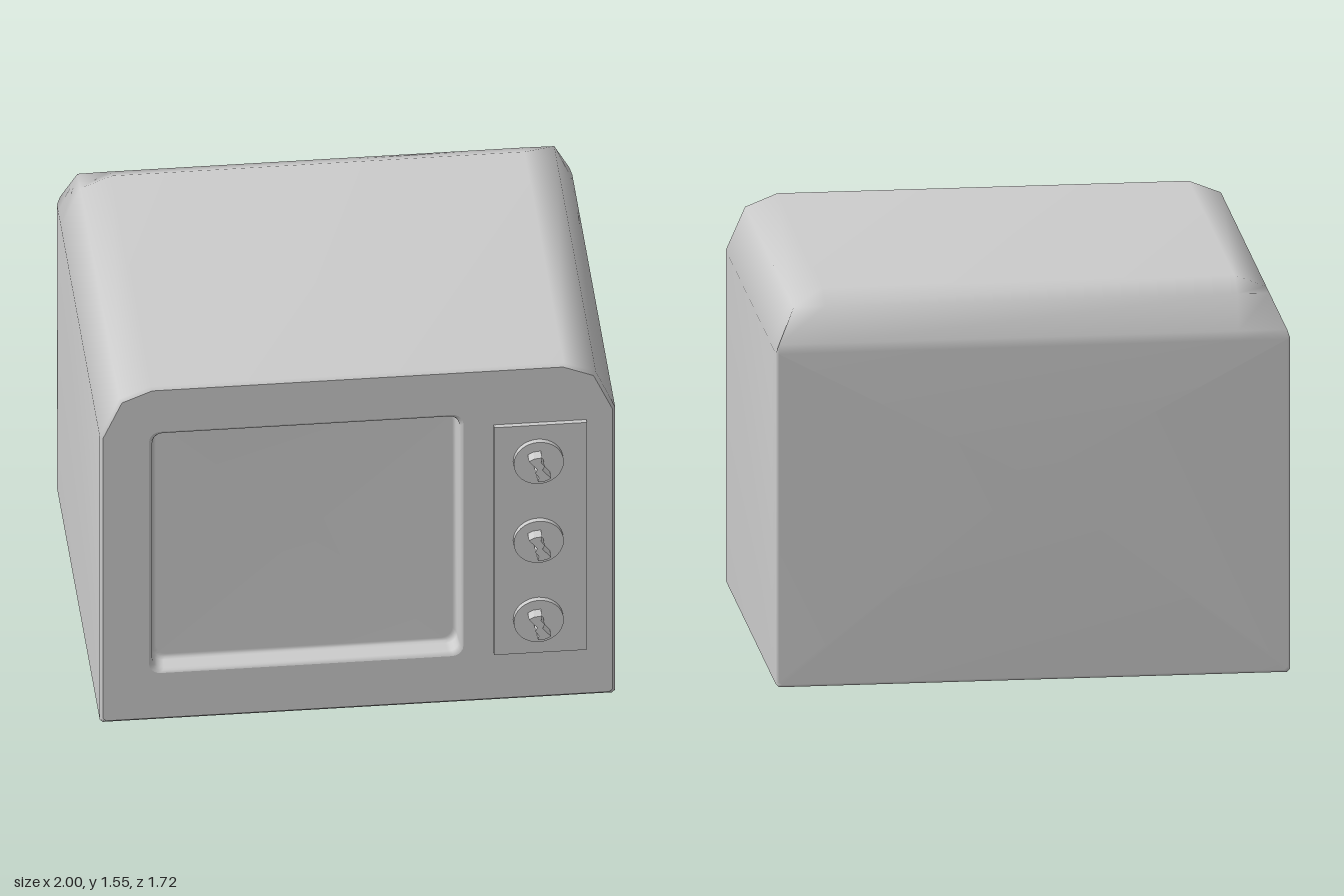
import * as THREE from 'three';

const material = new THREE.MeshStandardMaterial({ color: 0xcccccc, side: THREE.DoubleSide });

function addMesh(parent, name, geometry, x = 0, y = 0, z = 0) {
  const mesh = new THREE.Mesh(geometry, material);
  mesh.name = name;
  mesh.position.set(x, y, z);
  parent.add(mesh);
  return mesh;
}

// Joins closed rings of [x, y, z] points and closes the last ring with a fan.
function loft(rings) {
  const n = rings[0].length;
  const index = [];
  for (let i = 0; i < rings.length - 1; i++) {
    for (let j = 0; j < n; j++) {
      const a = i * n + j, b = i * n + (j + 1) % n;
      index.push(a, a + n, b, b, a + n, b + n);
    }
  }
  const last = rings[rings.length - 1];
  const start = (rings.length - 1) * n, centre = rings.length * n;
  for (let j = 0; j < n; j++) index.push(start + j, centre, start + (j + 1) % n);
  const middle = [0, 1, 2].map((k) => last.reduce((sum, p) => sum + p[k], 0) / n);
  const geometry = new THREE.BufferGeometry();
  geometry.setAttribute('position', new THREE.Float32BufferAttribute([...rings.flat(), middle].flat(), 3));
  geometry.setIndex(index);
  geometry.computeVertexNormals();
  return geometry;
}

// Casing outline, counter-clockwise: the right half, then its mirror.
function casingRing(z, inset, shoulder, top) {
  const w = 1 - inset;
  const half = [[w - 0.012, inset], [w, inset + 0.012], [w, 1.33], shoulder, top];
  const mirrored = half.map(([x, y]) => [-x, y]).reverse();
  return [...half, ...mirrored].map(([x, y]) => [x, y, z]);
}

// Rounded rectangle of the door opening, clockwise.
function openingRing(inset, z) {
  const r = 0.045, steps = 5, points = [];
  const x0 = -0.81 + inset, x1 = 0.41 - inset, y0 = 0.22 + inset, y1 = 1.345 - inset;
  const corners = [[x1 - r, y1 - r], [x1 - r, y0 + r], [x0 + r, y0 + r], [x0 + r, y1 - r]];
  corners.forEach(([cx, cy], k) => {
    for (let i = 0; i <= steps; i++) {
      const a = Math.PI / 2 * (1 - k - i / steps);
      points.push([cx + r * Math.cos(a), cy + r * Math.sin(a), z]);
    }
  });
  return points;
}

const toVectors = (points) => points.map(([x, y]) => new THREE.Vector2(x, y));

export function createModel() {
  const model = new THREE.Group();
  model.name = 'microwaveOven';

  // Casing with sloped shoulders and a hipped rear edge
  const front = casingRing(0.77, 0.012, [0.915, 1.49], [0.797, 1.538]);
  addMesh(model, 'casing', loft([
    front,
    casingRing(0.758, 0, [0.925, 1.5], [0.8, 1.55]),
    casingRing(-0.7, 0, [0.925, 1.5], [0.8, 1.55]),
    casingRing(-0.8, 0, [0.925, 1.5], [0.8, 1.502]),
    casingRing(-0.848, 0, [0.988, 1.365], [0.8, 1.365]),
    casingRing(-0.86, 0.012, [0.988, 1.33], [0.8, 1.33]),
  ]));

  // Front frame around the door opening
  const frame = new THREE.Shape(toVectors(front));
  frame.holes.push(new THREE.Path(toVectors(openingRing(0, 0))));
  addMesh(model, 'frontFrame', new THREE.ShapeGeometry(frame), 0, 0, 0.77);

  // Recessed door with softened rim and floor edge
  addMesh(model, 'recessedDoor', loft([
    openingRing(0, 0.77),
    openingRing(0.009, 0.766),
    openingRing(0.014, 0.755),
    openingRing(0.018, 0.705),
    openingRing(0.023, 0.694),
    openingRing(0.035, 0.69),
  ]));

  // Control panel
  addMesh(model, 'controlPanel', new THREE.BoxGeometry(0.36, 1.06, 0.03), 0.707, 0.757, 0.775);

  // Waisted knob grip: half an outline, repeated by a half turn
  const half = [[-0.043, 0.042], [-0.022, 0.053], [0.008, 0.056], [0.004, 0.035], [0.018, 0.015], [0.01, -0.002]];
  const outline = new THREE.Shape(toVectors([...half, ...half.map(([x, y]) => [-x, -y])]));
  const gripGeometry = new THREE.ExtrudeGeometry(outline, { depth: 0.055, bevelEnabled: false });
  const dialGeometry = new THREE.CylinderGeometry(0.097, 0.097, 0.03, 32).rotateX(Math.PI / 2);

  // Three knobs
  for (const y of [1.125, 0.757, 0.388]) {
    const knob = new THREE.Group();
    knob.name = 'knob';
    knob.position.set(0.698, y, 0.79);
    addMesh(knob, 'dial', dialGeometry, 0, 0, 0.007);
    addMesh(knob, 'grip', gripGeometry, 0, 0, 0.015);
    model.add(knob);
  }
  return model;
}
